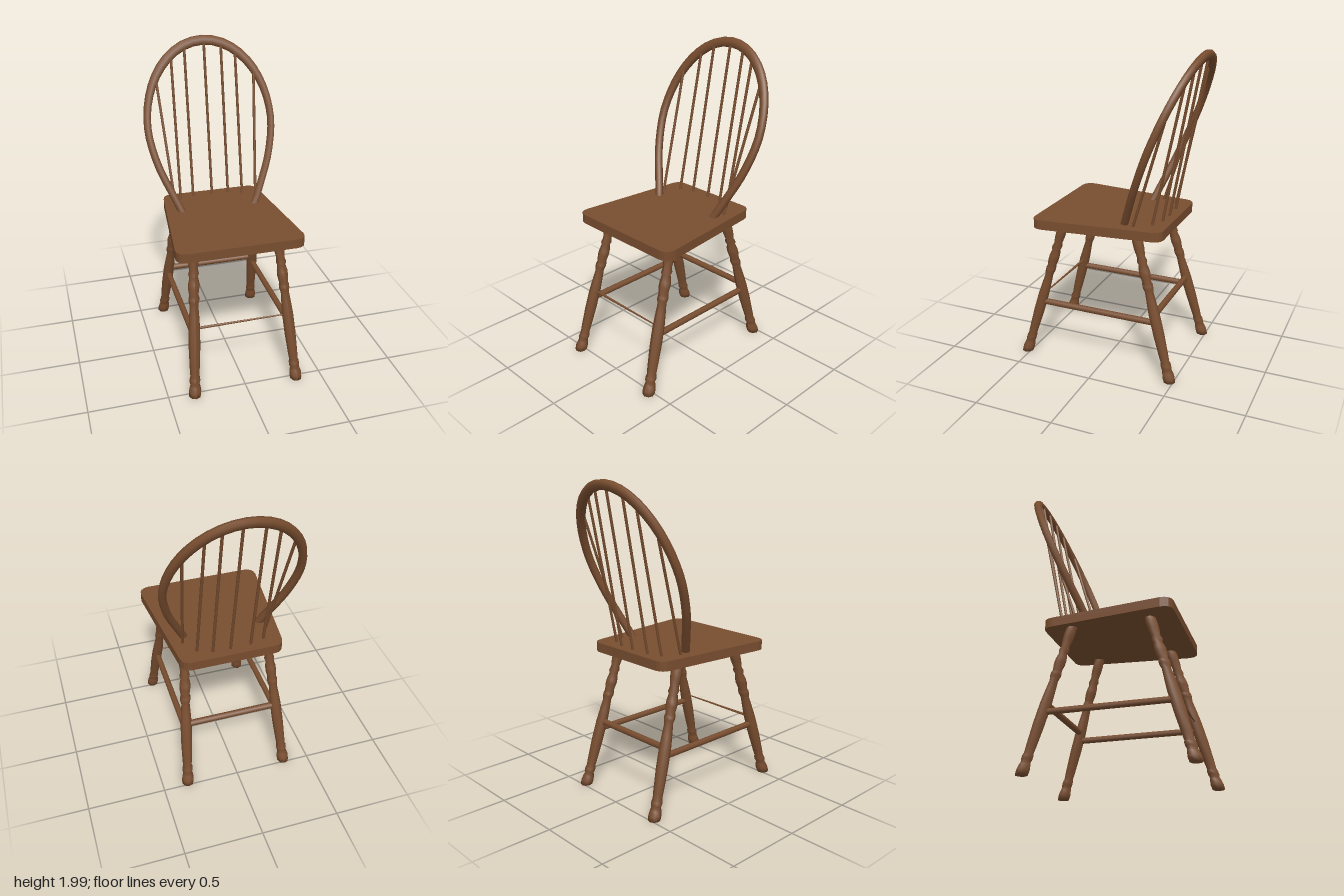
import * as THREE from 'three';

const wood = new THREE.MeshStandardMaterial({ color: 0x784d2f });
wood.name = 'brown wood';

const SEAT_TOP = 0.965, SEAT_BOTTOM = 0.905;
const hoopZ = (y) => -0.135 - (y - SEAT_TOP) * 0.403;

function addMesh(parent, name, geometry) {
  const mesh = new THREE.Mesh(geometry, wood);
  mesh.name = name;
  parent.add(mesh);
  return mesh;
}

// straight round stick between two points
function addRod(parent, name, a, b, r0, r1 = r0, sides = 8) {
  const from = new THREE.Vector3(...a), to = new THREE.Vector3(...b);
  const dir = to.clone().sub(from);
  const mesh = addMesh(parent, name, new THREE.CylinderGeometry(r1, r0, dir.length(), sides));
  mesh.position.copy(from).add(to).multiplyScalar(0.5);
  mesh.quaternion.setFromUnitVectors(new THREE.Vector3(0, 1, 0), dir.normalize());
}

// tapered seat board with rounded corners
function seatGeometry() {
  const s = new THREE.Shape();
  s.moveTo(-0.34, -0.43);
  s.lineTo(0.34, -0.43);
  s.quadraticCurveTo(0.405, -0.425, 0.402, -0.36);
  s.lineTo(0.328, 0.33);
  s.quadraticCurveTo(0.322, 0.39, 0.27, 0.395);
  s.lineTo(-0.27, 0.395);
  s.quadraticCurveTo(-0.322, 0.39, -0.328, 0.33);
  s.lineTo(-0.402, -0.36);
  s.quadraticCurveTo(-0.405, -0.425, -0.34, -0.43);
  const g = new THREE.ExtrudeGeometry(s, { depth: SEAT_TOP - SEAT_BOTTOM, bevelEnabled: false, curveSegments: 4 });
  g.rotateX(-Math.PI / 2);
  g.translate(0, SEAT_BOTTOM, 0);
  return g;
}

// centre line of a leg at height y
function legCentre(side, end, y) {
  const t = y / SEAT_BOTTOM;
  const z = end > 0 ? 0.524 - 0.254 * t : -0.476 + 0.254 * t;
  return [side * (0.335 - 0.065 * t), y, z];
}

// turned leg, leaned outward so the foot stays flat on the floor
function legGeometry(side, end) {
  const profile = [
    [0, 0], [0.038, 0], [0.04, 0.03], [0.034, 0.06], [0.029, 0.075], [0.034, 0.09], [0.034, 0.11],
    [0.029, 0.125], [0.032, 0.17], [0.037, 0.3], [0.037, 0.42], [0.032, 0.5], [0.027, 0.565],
    [0.034, 0.59], [0.034, 0.61], [0.029, 0.625], [0.036, 0.67], [0.035, 0.7], [0.027, 0.735],
    [0.034, 0.755], [0.027, 0.78], [0.034, 0.83], [0.035, 0.87], [0.032, 0.92],
  ].map(([r, y]) => new THREE.Vector2(r, y));
  const g = new THREE.LatheGeometry(profile, 8);
  const p = g.attributes.position;
  for (let i = 0; i < p.count; i++) {
    const [x, y, z] = legCentre(side, end, p.getY(i));
    p.setXYZ(i, p.getX(i) + x, y, p.getZ(i) + z);
  }
  g.computeVertexNormals();
  return g;
}

// bent back bow: a flattened section swept along a balloon curve, thicker at the crown
function hoopGeometry() {
  const half = [[0.24, 0.945], [0.3, 1.08], [0.36, 1.22], [0.398, 1.36]];
  const pts = half.map(([x, y]) => [x, y]);
  for (let i = 0; i <= 12; i++) {
    const a = (i / 12) * Math.PI;
    pts.push([0.411 * Math.cos(a), 1.47 + 0.495 * Math.sin(a)]);
  }
  half.reverse().forEach(([x, y]) => pts.push([-x, y]));
  const curve = new THREE.CatmullRomCurve3(pts.map(([x, y]) => new THREE.Vector3(x, y, hoopZ(y))));
  const normal = new THREE.Vector3(0, 0.374, 0.927);
  const N = 40, M = 8, pos = [], idx = [];
  const soft = (v) => Math.sign(v) * Math.pow(Math.abs(v), 0.75);
  for (let i = 0; i <= N; i++) {
    const c = curve.getPointAt(i / N);
    const side = curve.getTangentAt(i / N).cross(normal).normalize();
    const wide = 0.024 + 0.008 * THREE.MathUtils.smoothstep(c.y, 1.5, 1.95);
    for (let j = 0; j < M; j++) {
      const a = (j / M) * Math.PI * 2;
      const v = c.clone().addScaledVector(side, wide * soft(Math.cos(a)))
        .addScaledVector(normal, 0.024 * soft(Math.sin(a)));
      pos.push(v.x, v.y, v.z);
      if (i < N) {
        const p = i * M + j, q = i * M + ((j + 1) % M);
        idx.push(p, p + M, q, q, p + M, q + M);
      }
    }
  }
  const g = new THREE.BufferGeometry();
  g.setAttribute('position', new THREE.Float32BufferAttribute(pos, 3));
  g.setIndex(idx);
  g.computeVertexNormals();
  return g;
}

export function createModel() {
  const chair = new THREE.Group();
  chair.name = 'chair';

  addMesh(chair, 'seat', seatGeometry());
  addMesh(chair, 'backHoop', hoopGeometry());

  // spindles: bottom x, bottom z, top x, top y
  const spindles = [
    [-0.272, -0.195, -0.328, 1.76], [-0.217, -0.3, -0.217, 1.88], [-0.125, -0.33, -0.125, 1.93],
    [0.006, -0.335, 0.006, 1.945], [0.117, -0.33, 0.117, 1.93], [0.207, -0.295, 0.207, 1.88],
    [0.27, -0.195, 0.32, 1.76],
  ];
  for (const [x0, z0, x1, y1] of spindles) {
    addRod(chair, 'spindle', [x0, 0.95, z0], [x1, y1, hoopZ(y1) + 0.013], 0.009, 0.009, 6);
  }

  // legs and the stretchers joining them
  for (const side of [-1, 1]) {
    addMesh(chair, 'frontLeg', legGeometry(side, 1));
    addMesh(chair, 'backLeg', legGeometry(side, -1));
    addRod(chair, 'sideStretcher', legCentre(side, 1, 0.37), legCentre(side, -1, 0.37), 0.02);
  }
  addRod(chair, 'backStretcher', legCentre(-1, -1, 0.42), legCentre(1, -1, 0.42), 0.02);
  addRod(chair, 'frontStretcher', legCentre(-1, 1, 0.42), legCentre(1, 1, 0.42), 0.009, 0.004);

  return chair;
}
